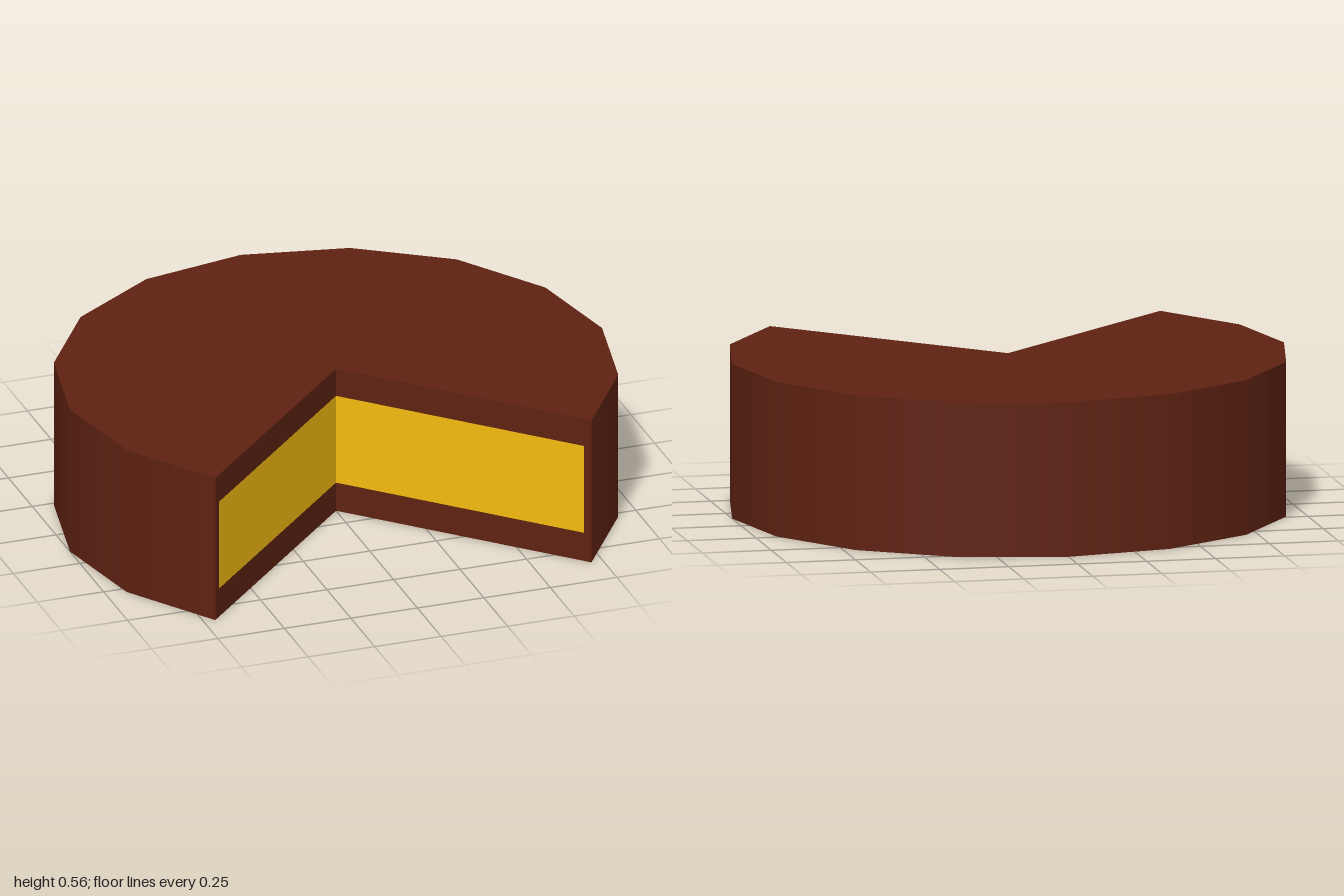
import * as THREE from 'three';

const H = 0.556, CENTRE_Z = 0.146;      // cake height, axis position
const LOW = 0.11, HIGH = 0.45, REACH = 0.97; // sponge filling inside the icing

export function createModel() {
  const cake = new THREE.Group();
  cake.name = 'cake';
  const icing = new THREE.MeshStandardMaterial({ color: 0x5f2212 });
  const sponge = new THREE.MeshStandardMaterial({ color: 0xf5bc10 });

  const add = (name, geometry, material) => {
    const mesh = new THREE.Mesh(geometry, material);
    mesh.name = name;
    mesh.position.z = CENTRE_Z;
    cake.add(mesh);
    return mesh;
  };

  // Iced body: three quarters of a 16-sided round, open towards the front
  const body = new THREE.CylinderGeometry(1, 1, H, 12, 1, false, Math.PI / 4, Math.PI * 1.5);
  add('icedBody', body.translate(0, H / 2, 0), icing);

  // Two cut faces: an icing border around a sponge panel
  for (const [side, s] of [['left', 1], ['right', -1]]) {
    const face = (points) => new THREE.ShapeGeometry(
      new THREE.Shape(points.map(([r, y]) => new THREE.Vector2(s * r, y)))
    ).rotateY(-s * Math.PI / 4);

    add(side + 'CutIcing', face([
      [0, 0], [1, 0], [1, H], [0, H],
      [0, HIGH], [REACH, HIGH], [REACH, LOW], [0, LOW],
    ]), icing);
    add(side + 'CutSponge', face([[0, LOW], [REACH, LOW], [REACH, HIGH], [0, HIGH]]), sponge);
  }
  return cake;
}
